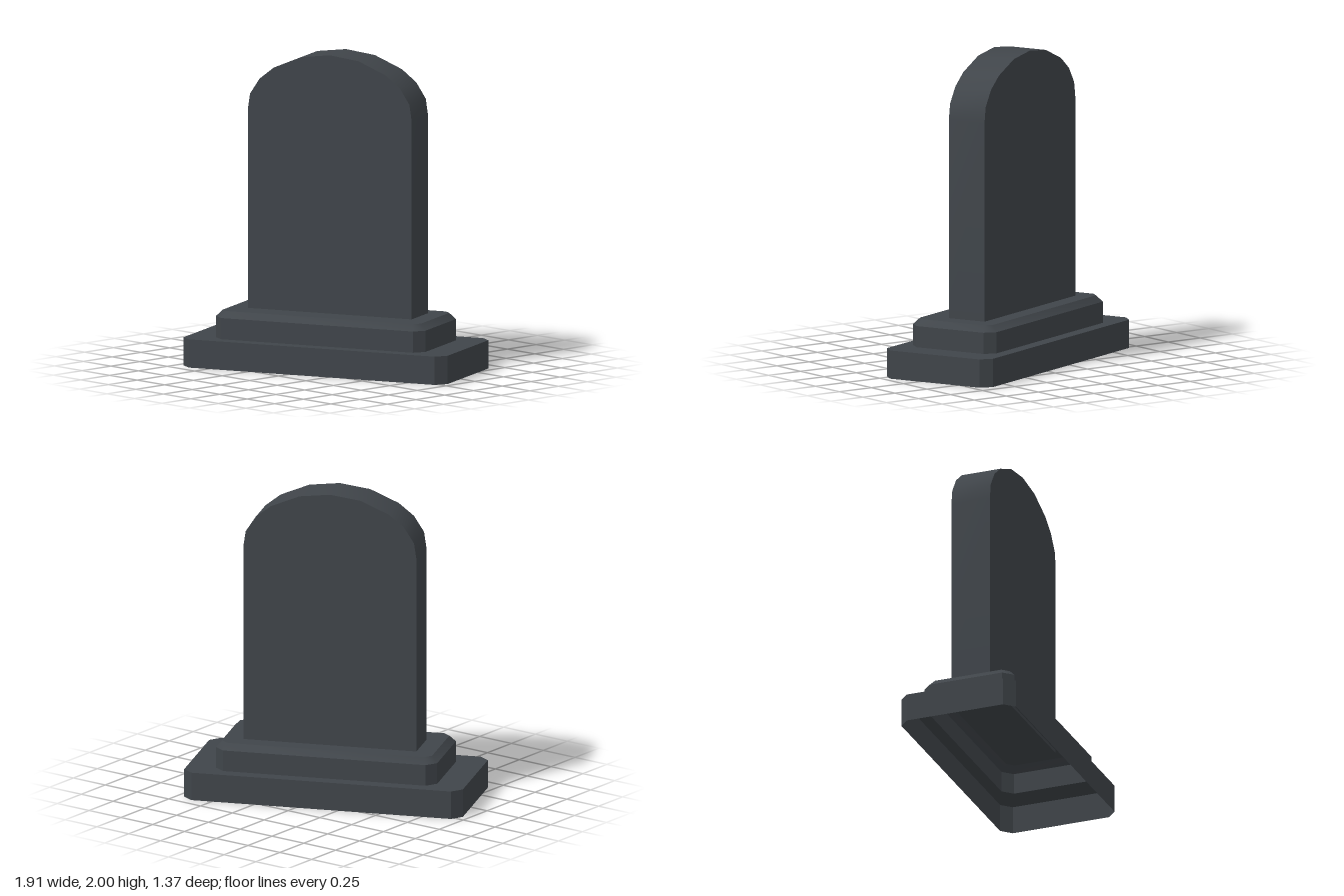
import * as THREE from 'three';
import { toCreasedNormals } from 'three/addons/utils/BufferGeometryUtils.js';

const CREASE = 0.6;

// Rectangle outline with cut corners at height y
function ring([hx, hz, cut, y]) {
  return [
    [hx, -hz + cut], [hx, hz - cut], [hx - cut, hz], [-hx + cut, hz],
    [-hx, hz - cut], [-hx, -hz + cut], [-hx + cut, -hz], [hx - cut, -hz],
  ].map(([x, z]) => [x, y, z]);
}

// Skin through successive outlines; optionally closed on top
function skin(sections, capped) {
  const rings = sections.map(ring);
  const pos = [];
  for (let r = 0; r < rings.length - 1; r++) {
    for (let i = 0; i < 8; i++) {
      const j = (i + 1) % 8;
      const a = rings[r][i], b = rings[r][j], c = rings[r + 1][i], d = rings[r + 1][j];
      pos.push(...a, ...c, ...d, ...a, ...d, ...b);
    }
  }
  if (capped) {
    const top = rings[rings.length - 1];
    top.forEach((p, i) => pos.push(...p, 0, p[1], 0, ...top[(i + 1) % 8]));
  }
  const geometry = new THREE.BufferGeometry();
  geometry.setAttribute('position', new THREE.Float32BufferAttribute(pos, 3));
  return toCreasedNormals(geometry, CREASE);
}

// Upright slab with a faceted arch on top
function tabletGeometry() {
  const half = [[0.56, 0.335], [0.56, 1.62], [0.545, 1.72], [0.48, 1.82], [0.382, 1.897], [0.197, 1.975]];
  const outline = [...half, [0, 2], ...half.map(([x, y]) => [-x, y]).reverse()];
  const shape = new THREE.Shape(outline.map(([x, y]) => new THREE.Vector2(x, y)));
  const geometry = new THREE.ExtrudeGeometry(shape, { depth: 0.26, bevelEnabled: false });
  geometry.translate(0, 0, -0.16);
  return toCreasedNormals(geometry, CREASE);
}

export function createModel() {
  const stone = new THREE.MeshStandardMaterial({ color: 0x40454a, side: THREE.DoubleSide });
  stone.name = 'dark stone';

  const group = new THREE.Group();
  group.name = 'gravestone';
  const add = (name, geometry) => {
    const mesh = new THREE.Mesh(geometry, stone);
    mesh.name = name;
    group.add(mesh);
  };

  // Hollow plinth, open below, its top reaching in to the step
  add('plinth', skin([
    [0.902, 0.387, 0.062, 0],
    [0.902, 0.387, 0.062, 0.18],
    [0.716, 0.304, 0.06, 0.18],
  ], false));

  // Hollow step with a bevelled upper edge
  add('step', skin([
    [0.716, 0.304, 0.06, 0.18],
    [0.716, 0.304, 0.06, 0.315],
    [0.678, 0.266, 0.042, 0.355],
  ], true));

  add('tablet', tabletGeometry());

  // The whole stone stands turned on its spot
  group.rotation.y = THREE.MathUtils.degToRad(23);
  return group;
}
